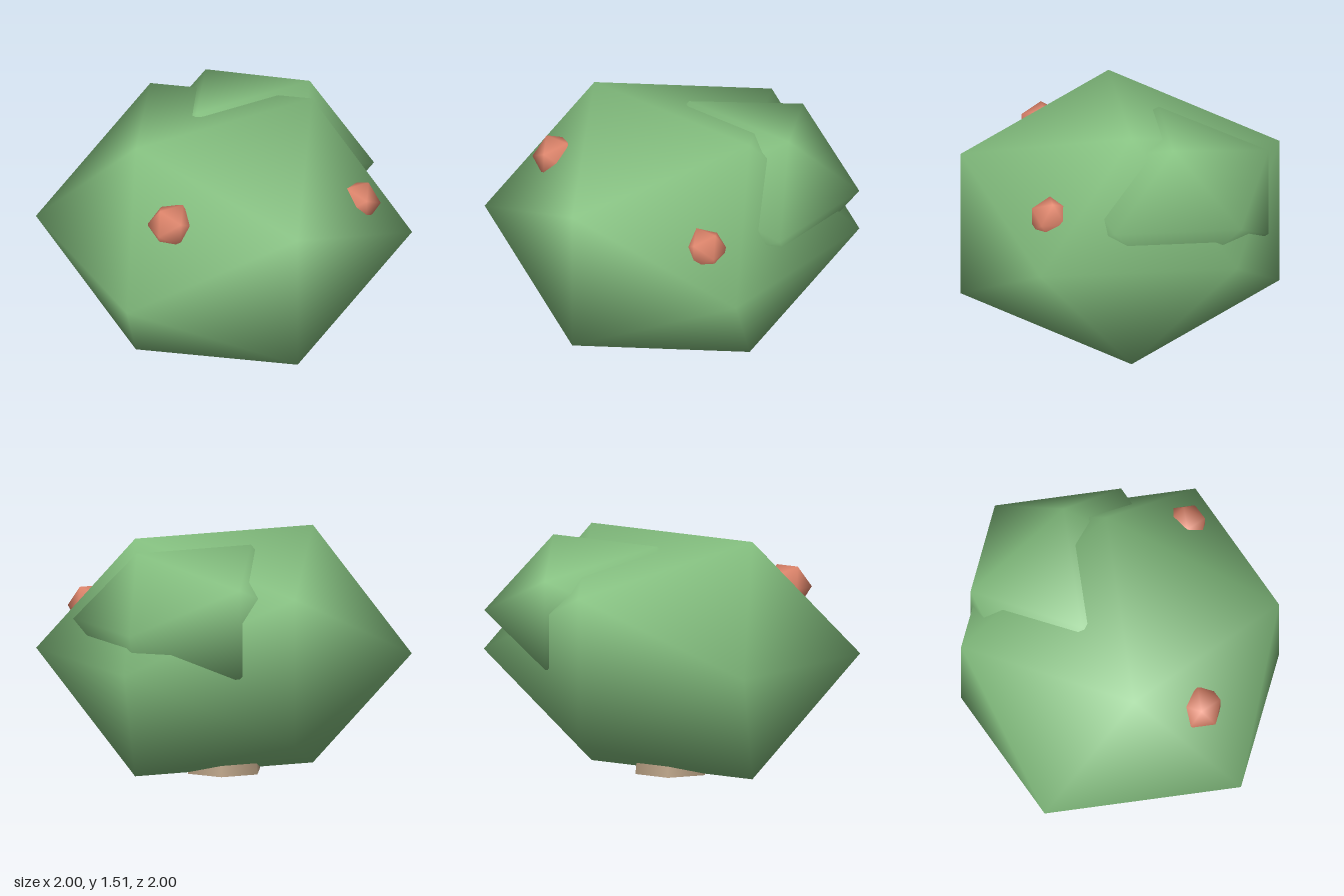
import * as THREE from 'three';
import { mergeVertices } from 'three/addons/utils/BufferGeometryUtils.js';

// Smooth-shaded icosahedron, sized by its half width and half height
function blobGeometry(halfWidth, halfHeight) {
  const raw = new THREE.IcosahedronGeometry(1, 0);
  raw.deleteAttribute('uv');
  raw.deleteAttribute('normal');
  const geometry = mergeVertices(raw, 1e-4);
  geometry.computeBoundingBox();
  const { x, y } = geometry.boundingBox.max;
  geometry.scale(halfWidth / x, halfHeight / y, halfWidth / x);
  geometry.computeVertexNormals();
  return geometry;
}

export function createModel() {
  const model = new THREE.Group();
  model.name = 'fruitBush';

  const leafGreen = new THREE.MeshStandardMaterial({ color: 0x86c281 });
  leafGreen.name = 'leaf green';
  const fruitRed = new THREE.MeshStandardMaterial({ color: 0xe0866c });
  fruitRed.name = 'fruit coral';
  const barkTan = new THREE.MeshStandardMaterial({ color: 0xb89f82, side: THREE.DoubleSide });
  barkTan.name = 'bark tan';

  const addBlob = (name, material, halfWidth, halfHeight, position) => {
    const mesh = new THREE.Mesh(blobGeometry(halfWidth, halfHeight), material);
    mesh.name = name;
    mesh.position.set(...position);
    model.add(mesh);
  };

  // Foliage: one large clump and a smaller one at the back
  addBlob('mainFoliage', leafGreen, 1, 0.75, [0, 0.76, 0]);
  addBlob('sideFoliage', leafGreen, 0.643, 0.45, [0.333, 1.01, -0.25]);

  // Fruits half sunk into the foliage
  addBlob('leftFruit', fruitRed, 0.122, 0.122, [0.675, 1.02, 0.51]);
  addBlob('rightFruit', fruitRed, 0.13, 0.13, [-0.585, 1.172, 0.418]);

  // Open six-sided trunk, mostly hidden inside the foliage
  const trunkGeometry = new THREE.CylinderGeometry(0.2, 0.25, 0.5, 6, 1, true);
  trunkGeometry.rotateY(Math.PI / 6);
  const trunk = new THREE.Mesh(trunkGeometry, barkTan);
  trunk.name = 'trunk';
  trunk.position.y = 0.25;
  model.add(trunk);

  return model;
}
